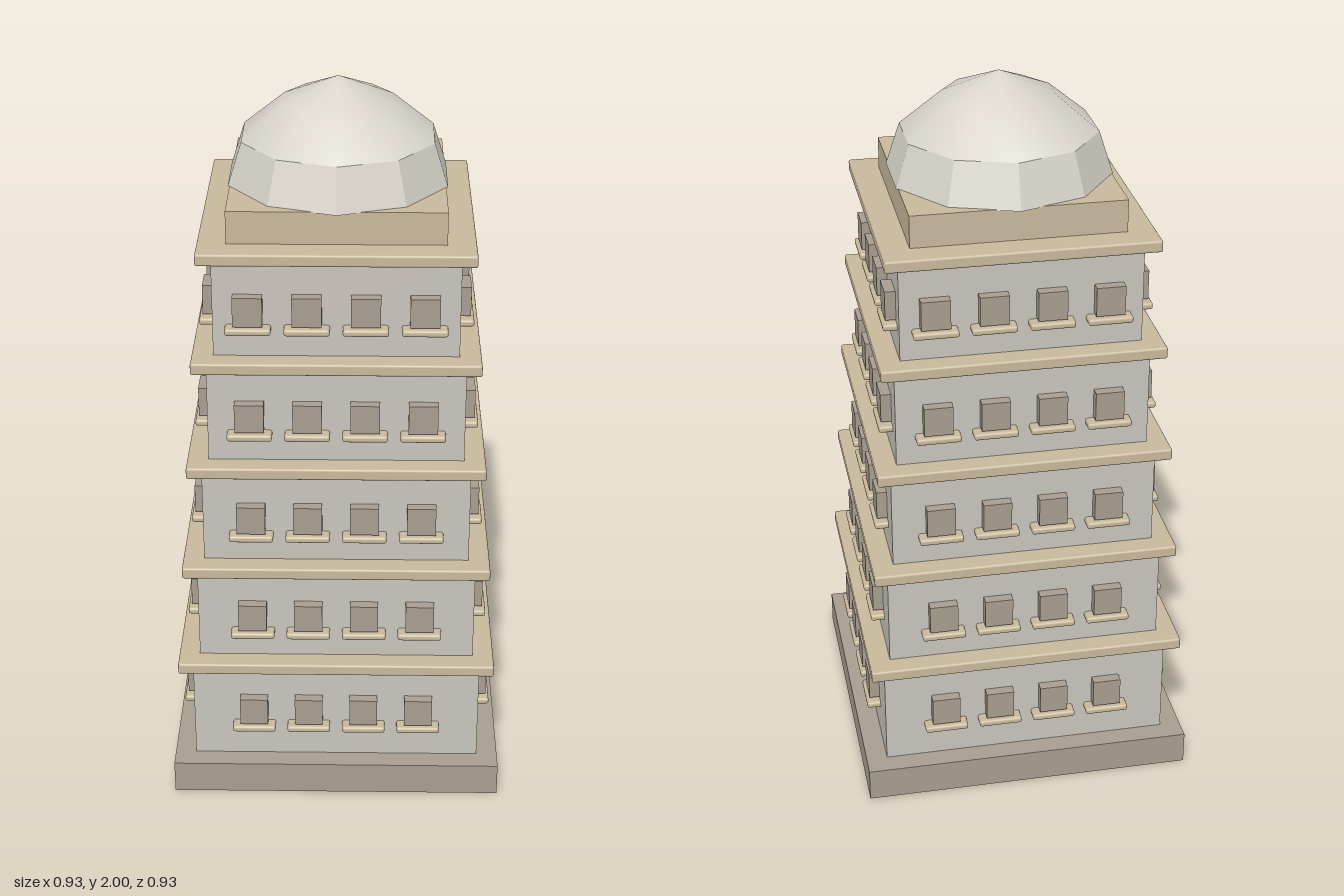
import * as THREE from 'three';
import { toCreasedNormals } from 'three/addons/utils/BufferGeometryUtils.js';
import { RoundedBoxGeometry } from 'three/addons/geometries/RoundedBoxGeometry.js';

const material = (name, color) => {
  const m = new THREE.MeshStandardMaterial({ color });
  m.name = name;
  return m;
};

export function createModel() {
  const wall = material('pale wall', 0xc9c5bd);
  const trim = material('sand trim', 0xc8b99c);
  const stone = material('grey brown stone', 0xa89e90);
  const roof = material('light dome', 0xd8d4ca);

  const tower = new THREE.Group();
  tower.name = 'tower';

  const add = (parent, name, geometry, mat, x, y, z) => {
    const mesh = new THREE.Mesh(geometry, mat);
    mesh.name = name;
    mesh.position.set(x, y, z);
    parent.add(mesh);
    return mesh;
  };

  // Square slab between two heights, optionally with softened edges
  const slab = (parent, name, half, y0, y1, mat, radius = 0) => {
    const size = [2 * half, y1 - y0, 2 * half];
    const geometry = radius ? new RoundedBoxGeometry(...size, 2, radius) : new THREE.BoxGeometry(...size);
    return add(parent, name, geometry, mat, 0, (y0 + y1) / 2, 0);
  };

  slab(tower, 'plinth', 0.465, 0, 0.095, stone);

  // Window block and sill, shared by every storey
  const windowGeometry = new THREE.BoxGeometry(0.079, 0.082, 0.05);
  const sillGeometry = new RoundedBoxGeometry(0.122, 0.019, 0.06, 2, 0.007);

  // Five storeys, each slightly narrower than the one below
  const step = 0.303;
  for (let i = 0; i < 5; i++) {
    const storey = new THREE.Group();
    storey.name = `storey${i + 1}`;
    tower.add(storey);
    const half = 0.406 - 0.0195 * i;
    const y = i * step;
    slab(storey, 'wall', half, i ? y + 0.115 : 0.095, y + 0.392, wall);
    slab(storey, 'cornice', half + 0.039, y + 0.389, y + 0.422, trim, 0.006);

    // Four windows on each of the four sides
    for (let side = 0; side < 4; side++) {
      const face = new THREE.Group();
      face.name = 'windowRow';
      face.rotation.y = side * Math.PI / 2;
      storey.add(face);
      for (let k = 0; k < 4; k++) {
        const x = (k - 1.5) * 0.156;
        add(face, 'window', windowGeometry, stone, x, y + 0.255, half + 0.004);
        add(face, 'sill', sillGeometry, trim, x, y + 0.2, half + 0.008);
      }
    }
  }

  slab(tower, 'domeBase', 0.29, 1.63, 1.724, trim);

  // Ten-sided dome with a closed underside
  const profile = [[0, 1.722], [0.31, 1.722], [0.271, 1.84], [0.154, 1.937], [0, 2]]
    .map(([r, y]) => new THREE.Vector2(r, y));
  const dome = toCreasedNormals(new THREE.LatheGeometry(profile, 10), 0.5);
  add(tower, 'dome', dome, roof, 0, 0, 0);

  return tower;
}
